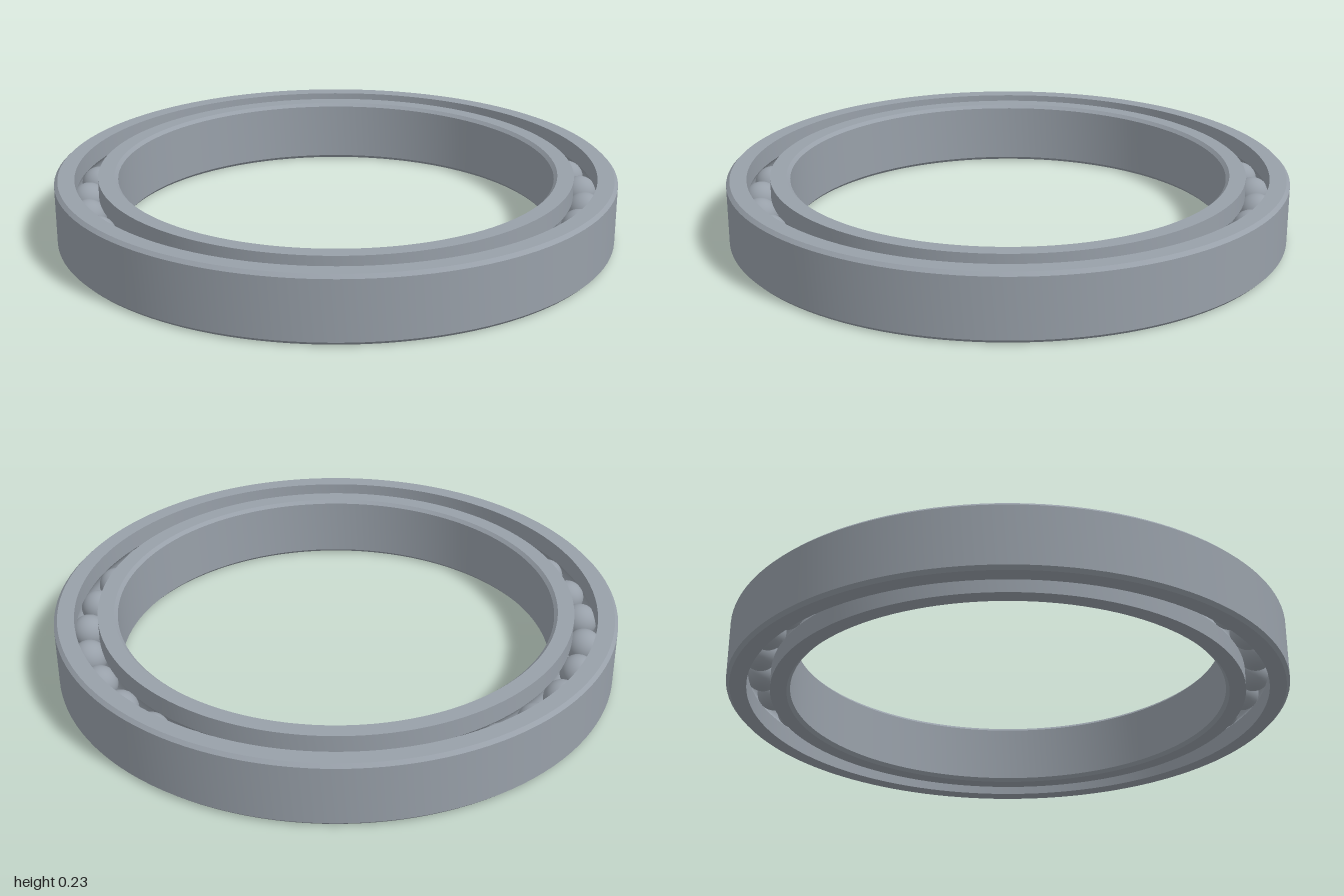
import * as THREE from 'three';
import { toCreasedNormals } from 'three/addons/utils/BufferGeometryUtils.js';

const HEIGHT = 0.233;
const MID = HEIGHT / 2;
const CHAMFER = 0.012;
const PITCH = 0.888;          // radius of the circle of ball centres
const BALL = 0.0625;
const BALL_COUNT = 32;

// Groove arc in the (radius, y) plane; side +1 cuts the outer ring, -1 the inner ring
function groove(side, wall) {
  const r = BALL + 0.001;
  const half = Math.acos(Math.abs(wall - PITCH) / r);
  const pts = [];
  for (let i = 0; i <= 10; i++) {
    const a = half - (2 * half * i) / 10;
    pts.push([PITCH + side * r * Math.cos(a), MID + side * r * Math.sin(a)]);
  }
  return pts;
}

// Closed profile, counter-clockwise, spun about the y axis
function ring(name, profile, material) {
  const pts = [...profile, profile[0]].map(([r, y]) => new THREE.Vector2(r, y));
  const geometry = toCreasedNormals(new THREE.LatheGeometry(pts, 128), 0.5);
  const mesh = new THREE.Mesh(geometry, material);
  mesh.name = name;
  return mesh;
}

export function createModel() {
  const model = new THREE.Group();
  model.name = 'ballBearing';
  const steel = new THREE.MeshStandardMaterial({ color: 0x98a0a9 });
  steel.name = 'steel';

  // Outer ring: chamfered outside, grooved on its inner wall
  const outerWall = 0.929;
  model.add(ring('outerRing', [
    [outerWall, 0], [1 - CHAMFER, 0], [1, CHAMFER],
    [1, HEIGHT - CHAMFER], [1 - CHAMFER, HEIGHT], [outerWall, HEIGHT],
    ...groove(1, outerWall),
  ], steel));

  // Inner ring: chamfered bore, grooved on its outer wall
  const innerWall = 0.847, bore = 0.777;
  model.add(ring('innerRing', [
    [bore + CHAMFER, 0], [innerWall, 0],
    ...groove(-1, innerWall),
    [innerWall, HEIGHT], [bore + CHAMFER, HEIGHT],
    [bore, HEIGHT - CHAMFER], [bore, CHAMFER],
  ], steel));

  // Balls evenly spaced between the rings
  const balls = new THREE.Group();
  balls.name = 'balls';
  const ballGeometry = new THREE.SphereGeometry(BALL, 32, 20);
  for (let i = 0; i < BALL_COUNT; i++) {
    const a = (i / BALL_COUNT) * Math.PI * 2 + 0.012;
    const ball = new THREE.Mesh(ballGeometry, steel);
    ball.name = 'ball';
    ball.position.set(PITCH * Math.cos(a), MID, PITCH * Math.sin(a));
    balls.add(ball);
  }
  model.add(balls);
  return model;
}
